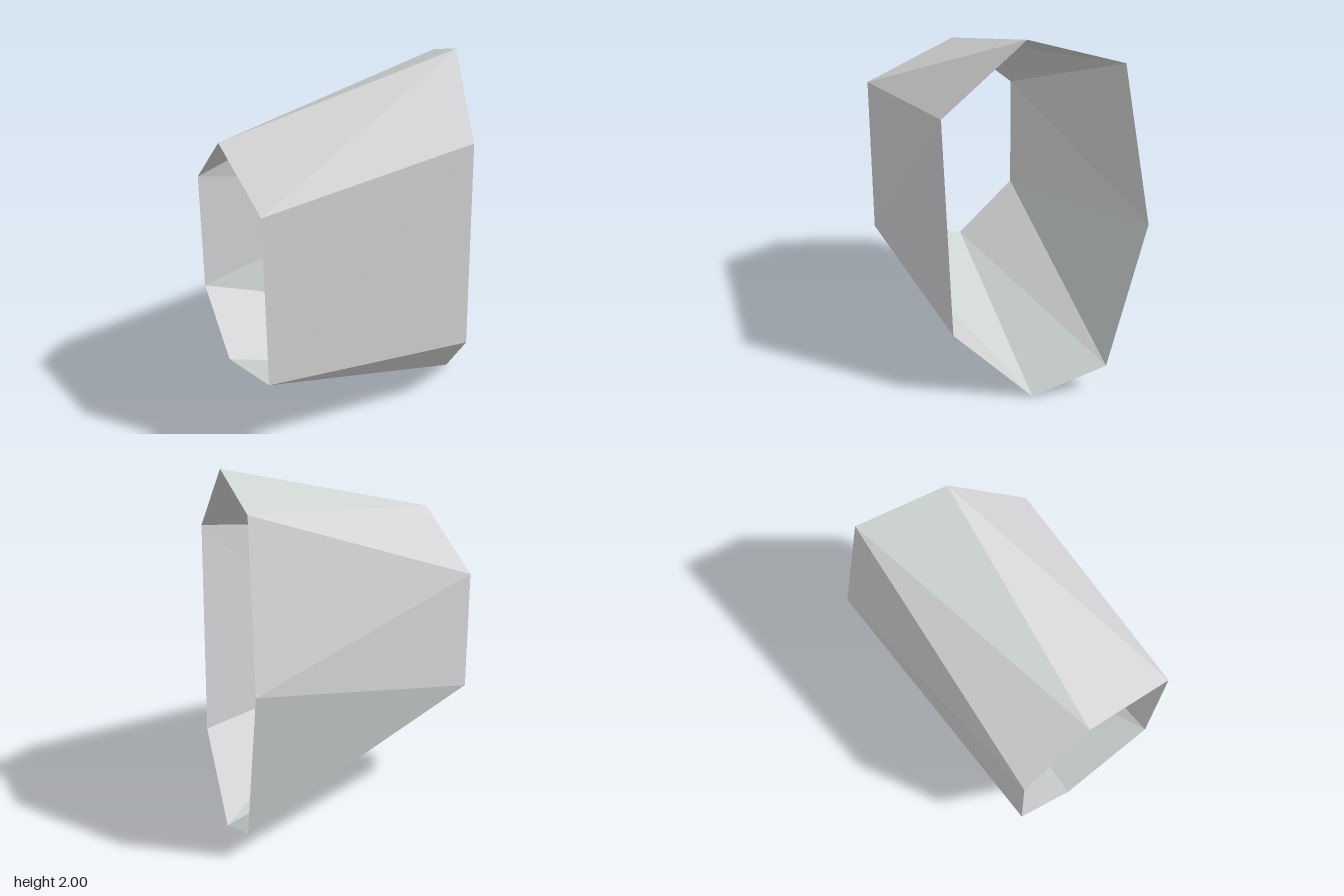
import * as THREE from 'three';

// Open ends of the tube, both listed in the same turning direction from the top
const wideEnd = [
  [0.555, 2.0, 0.08], [0.695, 1.87, -0.38], [0.762, 1.01, -0.52], [0.712, 0.17, -0.34],
  [0.6, 0.0, 0.045], [0.472, 0.41, 0.45], [0.44, 1.615, 0.48],
];
const narrowEnd = [
  [-0.762, 1.65, -0.02], [-0.762, 1.33, -0.4], [-0.762, 0.66, -0.4],
  [-0.758, 0.36, -0.05], [-0.745, 0.515, 0.515], [-0.75, 1.445, 0.512],
];

// Which end advances for each facet; lower case marks the cool grey facets
const steps = 'rLRLrLrlRRLRL';

function facetMesh(points, material, name) {
  const geometry = new THREE.BufferGeometry();
  geometry.setAttribute('position', new THREE.Float32BufferAttribute(points.flat(), 3));
  geometry.computeVertexNormals();
  const mesh = new THREE.Mesh(geometry, material);
  mesh.name = name;
  return mesh;
}

export function createModel() {
  const lightGrey = new THREE.MeshStandardMaterial({ color: 0xd4d4d6, side: THREE.DoubleSide, flatShading: true });
  lightGrey.name = 'lightGrey';
  const coolGrey = new THREE.MeshStandardMaterial({ color: 0xccd3d1, side: THREE.DoubleSide, flatShading: true });
  coolGrey.name = 'coolGrey';

  // Bridge the seven-sided end to the six-sided end
  const light = [], cool = [];
  let r = 0, l = 0;
  for (const step of steps) {
    const target = step === step.toLowerCase() ? cool : light;
    const wide = wideEnd[r % 7], narrow = narrowEnd[l % 6];
    if (step.toUpperCase() === 'R') target.push(wide, wideEnd[++r % 7], narrow);
    else target.push(narrow, wide, narrowEnd[++l % 6]);
  }

  const group = new THREE.Group();
  group.name = 'facetedTube';
  group.add(facetMesh(light, lightGrey, 'mainFacets'), facetMesh(cool, coolGrey, 'coolFacets'));
  return group;
}
